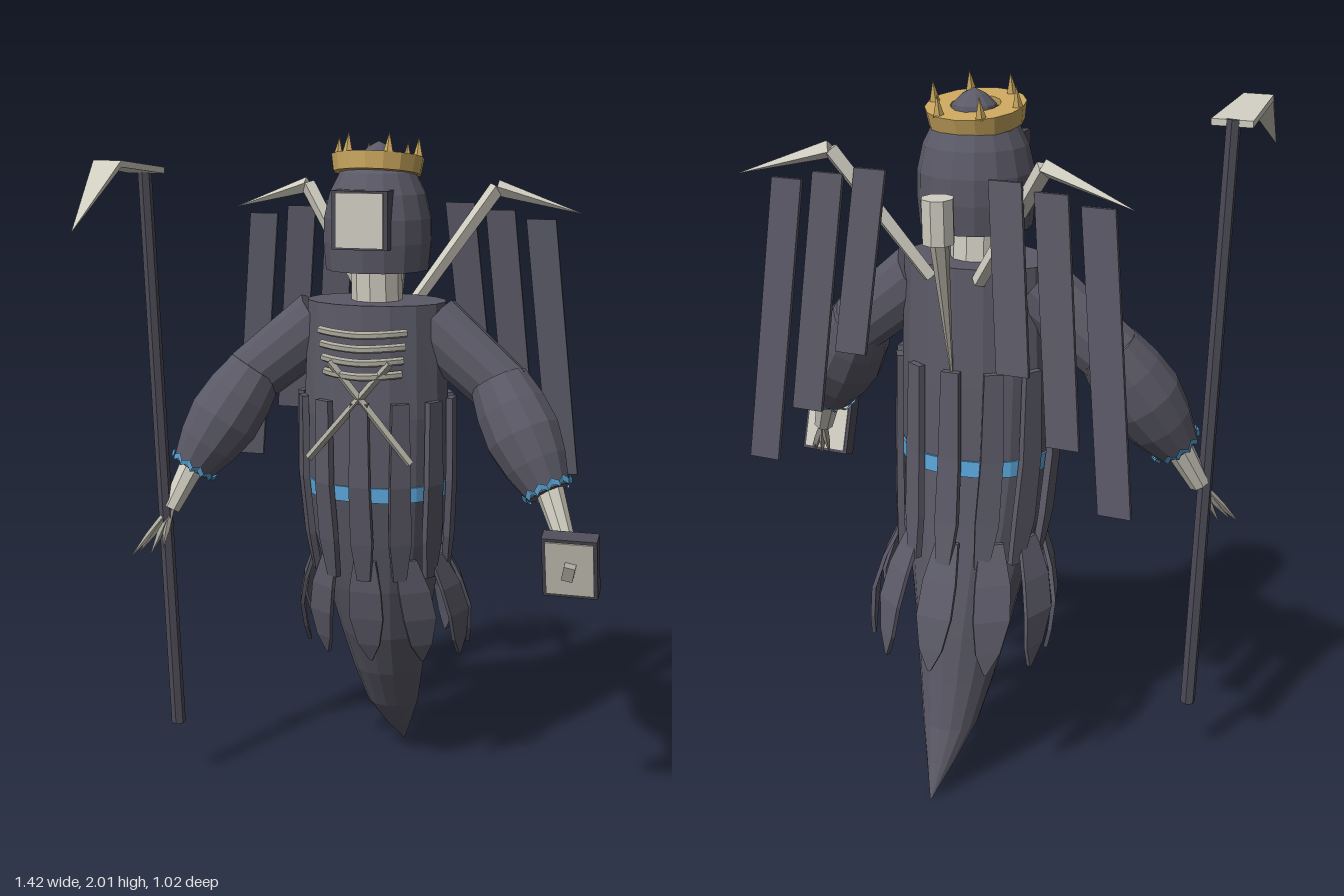
import * as THREE from 'three';

const V = (x, y, z) => new THREE.Vector3(x, y, z);
const CX = -0.01; // plane of symmetry

// Robe cross-sections: y, centre z, half width, half depth
const ROBE = [
  [0.005, -0.51, 0.003, 0.003], [0.1, -0.435, 0.044, 0.044], [0.2, -0.37, 0.082, 0.08],
  [0.34, -0.315, 0.112, 0.115], [0.48, -0.272, 0.138, 0.143], [0.65, -0.23, 0.172, 0.16],
  [0.8, -0.2, 0.198, 0.167], [0.95, -0.175, 0.215, 0.174], [1.2, -0.165, 0.222, 0.174],
  [1.53, -0.165, 0.21, 0.155],
];

function robeAt(y) {
  let i = 0;
  while (i < ROBE.length - 2 && y > ROBE[i + 1][0]) i++;
  const a = ROBE[i], b = ROBE[i + 1], t = (y - a[0]) / (b[0] - a[0]);
  return a.map((v, k) => v + (b[k] - v) * t);
}

function flat(geo) {
  const g = geo.index ? geo.toNonIndexed() : geo;
  g.computeVertexNormals();
  return g;
}

// Skin between rings of points, with both ends closed
function loft(rings) {
  const pos = [], n = rings[0].length;
  const tri = (...p) => p.forEach((v) => pos.push(v.x, v.y, v.z));
  for (let r = 0; r < rings.length - 1; r++) {
    for (let i = 0; i < n; i++) {
      const j = (i + 1) % n, lo = rings[r], hi = rings[r + 1];
      tri(lo[i], lo[j], hi[i]);
      tri(hi[j], hi[i], lo[j]);
    }
  }
  const mid = (ring) => ring.reduce((s, p) => s.add(p), V(0, 0, 0)).divideScalar(n);
  const first = rings[0], last = rings[rings.length - 1], m0 = mid(first), m1 = mid(last);
  for (let i = 0; i < n; i++) {
    const j = (i + 1) % n;
    tri(m0, first[j], first[i]);
    tri(m1, last[i], last[j]);
  }
  const g = new THREE.BufferGeometry();
  g.setAttribute('position', new THREE.Float32BufferAttribute(pos, 3));
  g.computeVertexNormals();
  return g;
}

function robeRing(y, grow = 0, sides = 16) {
  const [, z, rx, rz] = robeAt(y);
  return Array.from({ length: sides }, (_, i) => {
    const a = (i / sides) * Math.PI * 2;
    return V(CX + (rx + grow) * Math.sin(a), y, z + (rz + grow) * Math.cos(a));
  });
}

// Cloth strip hanging on the robe; rows from bottom to top: y, offset, half width
function clothStrip(angle, rows, depth = 1, thick = 0.006) {
  const n = V(Math.sin(angle), 0, Math.cos(angle)), t = V(Math.cos(angle), 0, -Math.sin(angle));
  return loft(rows.map(([y, off, w]) => {
    const [, z, rx, rz] = robeAt(y);
    const c = V(CX + (rx + off) * n.x, y, z + (rz + off * depth) * n.z - off * (1 - depth) * 0.3);
    return [[1, -1], [1, 1], [-1, 1], [-1, -1]].map(([p, q]) =>
      c.clone().addScaledVector(n, p * thick).addScaledVector(t, q * w));
  }));
}

export function createModel() {
  const root = new THREE.Group();
  const mat = (name, color, extra = {}) => new THREE.MeshStandardMaterial({ name, color, ...extra });
  const robe = mat('robe slate', 0x5a5966);
  const dark = mat('dark slate', 0x4c4b56);
  const bone = mat('bone', 0xd0cdc1);
  const oldBone = mat('weathered bone', 0xaaa79b);
  const gold = mat('gold', 0xcaa75f);
  const blue = mat('blue trim', 0x5aa6da, { side: THREE.DoubleSide });

  const add = (name, geo, m, parent = root) => {
    const mesh = new THREE.Mesh(flat(geo), m);
    mesh.name = name;
    parent.add(mesh);
    return mesh;
  };
  const aim = (mesh, a, b) => {
    mesh.position.copy(a);
    mesh.quaternion.setFromUnitVectors(V(0, 1, 0), b.clone().sub(a).normalize());
    return mesh;
  };
  // Turned part from a to b; profile of [fraction, radius]
  const limb = (name, m, a, b, profile, sides = 8, parent = root) => {
    const len = a.distanceTo(b);
    const pts = [[0, 0], ...profile, [1, 0]].map(([t, r]) => new THREE.Vector2(r, t * len));
    return aim(add(name, new THREE.LatheGeometry(pts, sides), m, parent), a, b);
  };

  // Robe, blue band and hanging cloth
  add('robe', loft(ROBE.map((r) => robeRing(r[0]))), robe);
  add('blueBand', loft([robeRing(0.95, 0.006), robeRing(0.995, 0.006)]), blue);
  for (let i = 0; i < 12; i++) {
    add('robeStrip', clothStrip((i * Math.PI) / 6,
      [[0.7, 0.024, 0.02], [0.82, 0.02, 0.033], [1.0, 0.015, 0.031], [1.25, 0.01, 0.026]], 1, 0.01), robe);
  }
  for (let i = 0; i < 10; i++) {
    add('tatter', clothStrip((i * Math.PI) / 5,
      [[0.42, 0.13, 0.004], [0.48, 0.125, 0.034], [0.57, 0.11, 0.052], [0.66, 0.07, 0.05], [0.76, 0.01, 0.034]],
      0.5), robe);
  }

  // Neck, hooded head and face plate
  limb('neck', bone, V(CX, 1.5, -0.17), V(CX, 1.65, -0.16), [[0, 0.075], [1, 0.075]], 10);
  const hood = [[0, 1.62], [0.153, 1.62], [0.16, 1.7], [0.158, 1.77], [0.142, 1.84], [0.112, 1.9], [0.065, 1.935], [0, 1.94]];
  add('hood', new THREE.LatheGeometry(hood.map((p) => new THREE.Vector2(...p)), 16), robe).position.set(CX, 0, -0.175);
  const tip = [[0.068, 1.91], [0.06, 1.945], [0.032, 1.972], [0, 1.988]];
  add('hoodTip', new THREE.LatheGeometry(tip.map((p) => new THREE.Vector2(...p)), 12), robe).position.set(CX, 0, -0.185);
  add('faceFrame', new THREE.BoxGeometry(0.165, 0.166, 0.08), dark).position.set(CX - 0.005, 1.772, -0.042);
  add('facePlate', new THREE.BoxGeometry(0.14, 0.155, 0.008), bone).position.set(CX - 0.005, 1.772, 0.002);

  // Tilted crown with six spikes
  const crown = new THREE.Group();
  crown.name = 'crown';
  crown.position.set(CX, 1.92, -0.172);
  crown.rotation.x = -0.17;
  root.add(crown);
  const band = [[0.068, -0.025], [0.128, -0.025], [0.136, 0.024], [0.068, 0.024], [0.068, -0.025]];
  add('crownBand', new THREE.LatheGeometry(band.map((p) => new THREE.Vector2(...p)), 16), gold, crown);
  for (let i = 0; i < 6; i++) {
    const a = ((i + 0.5) * Math.PI) / 3;
    add('crownSpike', new THREE.ConeGeometry(0.016, 0.06, 5), gold, crown)
      .position.set(0.12 * Math.sin(a), 0.05, 0.12 * Math.cos(a));
  }

  // Ribs and crossed bones on the chest
  for (let i = 0; i < 4; i++) {
    const y = 1.335 + i * 0.04, w = 0.115 + 0.005 * i;
    const curve = new THREE.CatmullRomCurve3(
      [V(CX - w, y, -0.02), V(CX - w * 0.6, y - 0.002, 0.014), V(CX, y - 0.006, 0.024), V(CX + w * 0.6, y - 0.002, 0.014), V(CX + w, y, -0.02)]);
    add('rib', new THREE.TubeGeometry(curve, 10, 0.012, 6), oldBone);
  }
  for (const s of [-1, 1]) {
    limb('crossedBone', oldBone, V(CX + s * 0.09, 1.37, 0.018), V(CX - s * 0.155, 1.08, 0.02), [[0, 0.012], [1, 0.012]], 4);
  }

  // Arms, hands and wings, mirrored
  for (const s of [-1, 1]) {
    const side = s > 0 ? 'left' : 'right';
    const P = (x, y, z) => V(CX + s * x, y, z);
    limb(side + 'UpperArm', robe, P(0.17, 1.46, -0.17), P(0.4, 1.275, -0.14), [[0, 0.1], [1, 0.09]], 12).scale.z = 0.8;
    const elbow = P(0.375, 1.305, -0.145), cuff = P(0.55, 1.01, -0.04);
    limb(side + 'Sleeve', robe, elbow, cuff,
      [[0, 0.088], [0.25, 0.106], [0.5, 0.112], [0.75, 0.095], [1, 0.065]], 12);

    // Zigzag blue trim on the sleeve
    const trim = new THREE.CylinderGeometry(0.07, 0.078, 0.016, 24, 1, true);
    const p = trim.attributes.position;
    for (let i = 0; i < p.count; i++) p.setY(i, p.getY(i) + (i % 25 % 2) * 0.014);
    aim(add(side + 'CuffTrim', trim, blue), elbow.clone().lerp(cuff, 0.955), cuff.clone().multiplyScalar(2).sub(elbow));

    const wrist = P(0.605, 0.89, 0.005);
    limb(side + 'Forearm', bone, P(0.545, 1.03, -0.05), wrist, [[0, 0.042], [1, 0.03]], 8);
    for (const [x, y, z] of [[0.7, 0.755, 0.09], [0.68, 0.765, 0.075], [0.65, 0.755, 0.065], [0.615, 0.775, 0.05]]) {
      limb(side + 'Finger', oldBone, wrist.clone().lerp(P(x, y, z), -0.05), P(x, y, z), [[0, 0.013], [0.6, 0.01], [1, 0.001]], 5);
    }

    const bend = P(0.3, 1.845, -0.43);
    limb(side + 'WingArm', bone, P(0.07, 1.5, -0.32), bend, [[0, 0.02], [1, 0.024]], 4);
    limb(side + 'WingTip', bone, bend, P(0.55, 1.77, -0.475), [[0, 0.024], [1, 0.001]], 4);

    // Hanging wing panels: top x, top y, bottom x, bottom y
    for (const [tx, ty, bx, by] of [[0.44, 1.755, 0.52, 0.965], [0.315, 1.78, 0.375, 1.13], [0.19, 1.8, 0.235, 1.31]]) {
      const ring = (x, y, z) => [[-1, 1], [1, 1], [1, -1], [-1, -1]].map(([u, v]) =>
        V(CX + s * x + u * 0.045, y, z + v * 0.006));
      add(side + 'WingPanel', loft([ring(bx, by, -0.472), ring(tx, ty, -0.418)]), robe);
    }
  }

  // Stake with a round head on the back
  limb('backStakeHead', bone, V(CX, 1.62, -0.412), V(CX, 1.74, -0.416), [[0, 0.044], [1, 0.044]], 8);
  limb('backStake', oldBone, V(CX, 1.63, -0.41), V(CX, 1.24, -0.34), [[0, 0.026], [1, 0.004]], 6);

  // Scythe in the right hand
  limb('scythePole', dark, V(-0.612, 0.19, 0), V(-0.655, 1.915, 0.03), [[0, 0.022], [1, 0.02]], 6);
  const bladeRing = (w, y, z, h) => [[1, -1], [1, 1], [-1, 1], [-1, -1]].map(([u, v]) => V(-0.653 + u * w, y + v * h, z));
  add('scytheBlade', loft([bladeRing(0.057, 1.905, 0.02, 0.009), bladeRing(0.042, 1.935, 0.28, 0.009),
    bladeRing(0.001, 1.77, 0.51, 0.001)]), bone);

  // Book in the left hand
  const book = new THREE.Group();
  book.name = 'book';
  book.position.set(0.635, 0.85, 0.123);
  book.rotation.x = 0.31;
  root.add(book);
  add('bookBody', new THREE.BoxGeometry(0.155, 0.19, 0.046), dark, book);
  for (const s of [-1, 1]) {
    add('bookCoverPlate', new THREE.BoxGeometry(0.135, 0.17, 0.006), bone, book).position.z = s * 0.024;
  }
  const clasp = add('bookClasp', new THREE.BoxGeometry(0.032, 0.045, 0.03), oldBone, book);
  clasp.position.z = 0.036;
  clasp.rotation.z = -0.2;
  return root;
}
